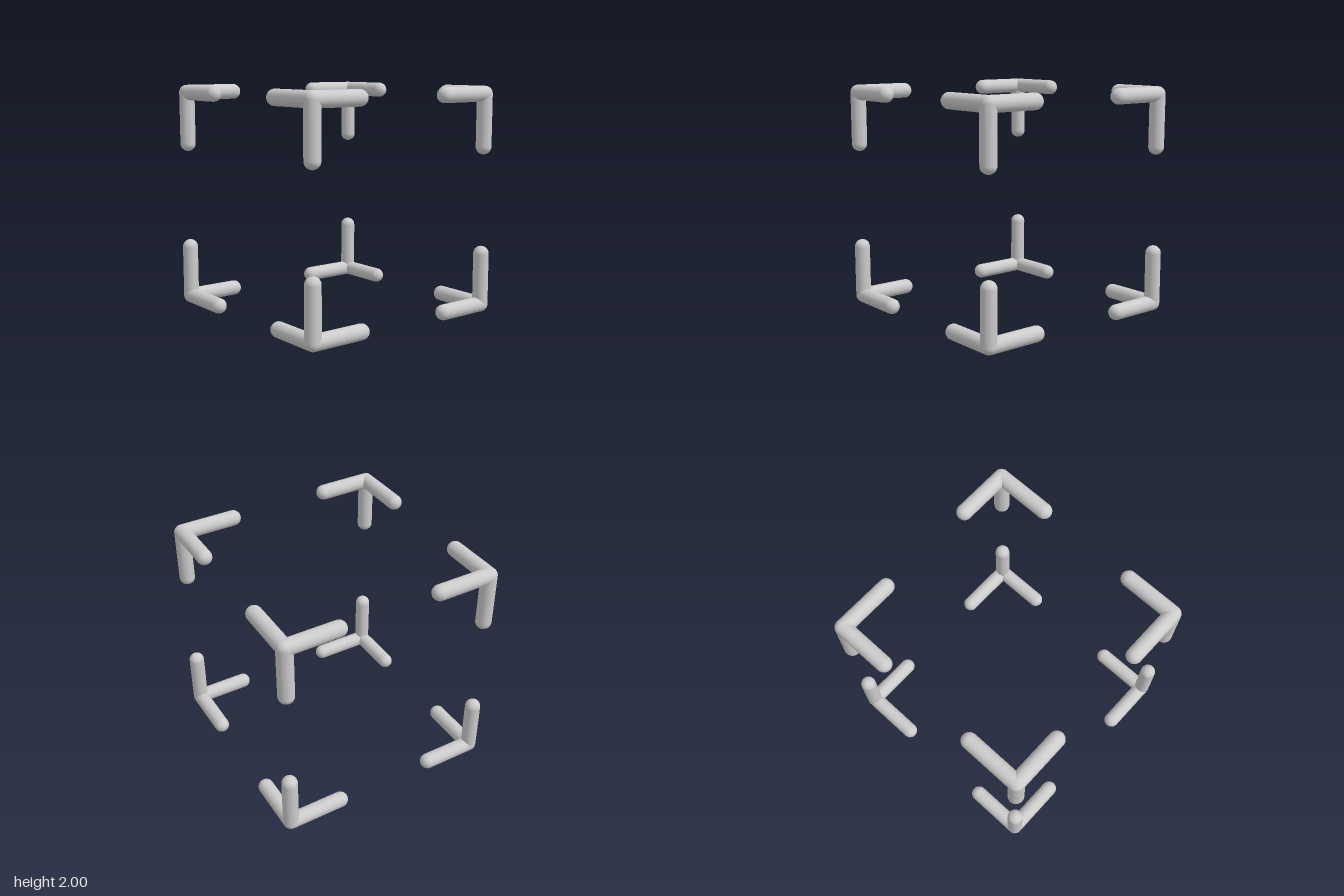
import * as THREE from 'three';

const R = 0.068;        // rod radius
const C = 1 - R;        // rod axis distance from the centre
const SHORT = 0.594;    // overall rod lengths, cap to cap
const LONG = 0.62;

const material = new THREE.MeshStandardMaterial({ color: 0xcccccc });

// Round-ended rod whose first cap is centred on the origin, pointing along dir
function rod(name, dir, length) {
  const core = length - 2 * R;
  const geometry = new THREE.CapsuleGeometry(R, core, 10, 32);
  geometry.translate(0, core / 2, 0);
  const mesh = new THREE.Mesh(geometry, material);
  mesh.name = name;
  mesh.quaternion.setFromUnitVectors(new THREE.Vector3(0, 1, 0), dir);
  return mesh;
}

// Three rods meeting at one corner of the cube, each running inwards
function cornerBracket(sx, sy, sz) {
  const bracket = new THREE.Group();
  bracket.name = `${sy > 0 ? 'top' : 'bottom'}${sz > 0 ? 'Front' : 'Back'}${sx > 0 ? 'Left' : 'Right'}Corner`;
  bracket.position.set(sx * C, 1 + sy * C, sz * C);
  // The longer horizontal rod alternates between neighbouring corners
  const longX = sx * sy * sz > 0;
  bracket.add(
    rod('sideRod', new THREE.Vector3(-sx, 0, 0), longX ? LONG : SHORT),
    rod('uprightRod', new THREE.Vector3(0, -sy, 0), SHORT),
    rod('depthRod', new THREE.Vector3(0, 0, -sz), longX ? SHORT : LONG),
  );
  return bracket;
}

export function createModel() {
  const model = new THREE.Group();
  model.name = 'cubeCornerFrame';
  for (const sx of [-1, 1])
    for (const sy of [-1, 1])
      for (const sz of [-1, 1]) model.add(cornerBracket(sx, sy, sz));
  return model;
}
